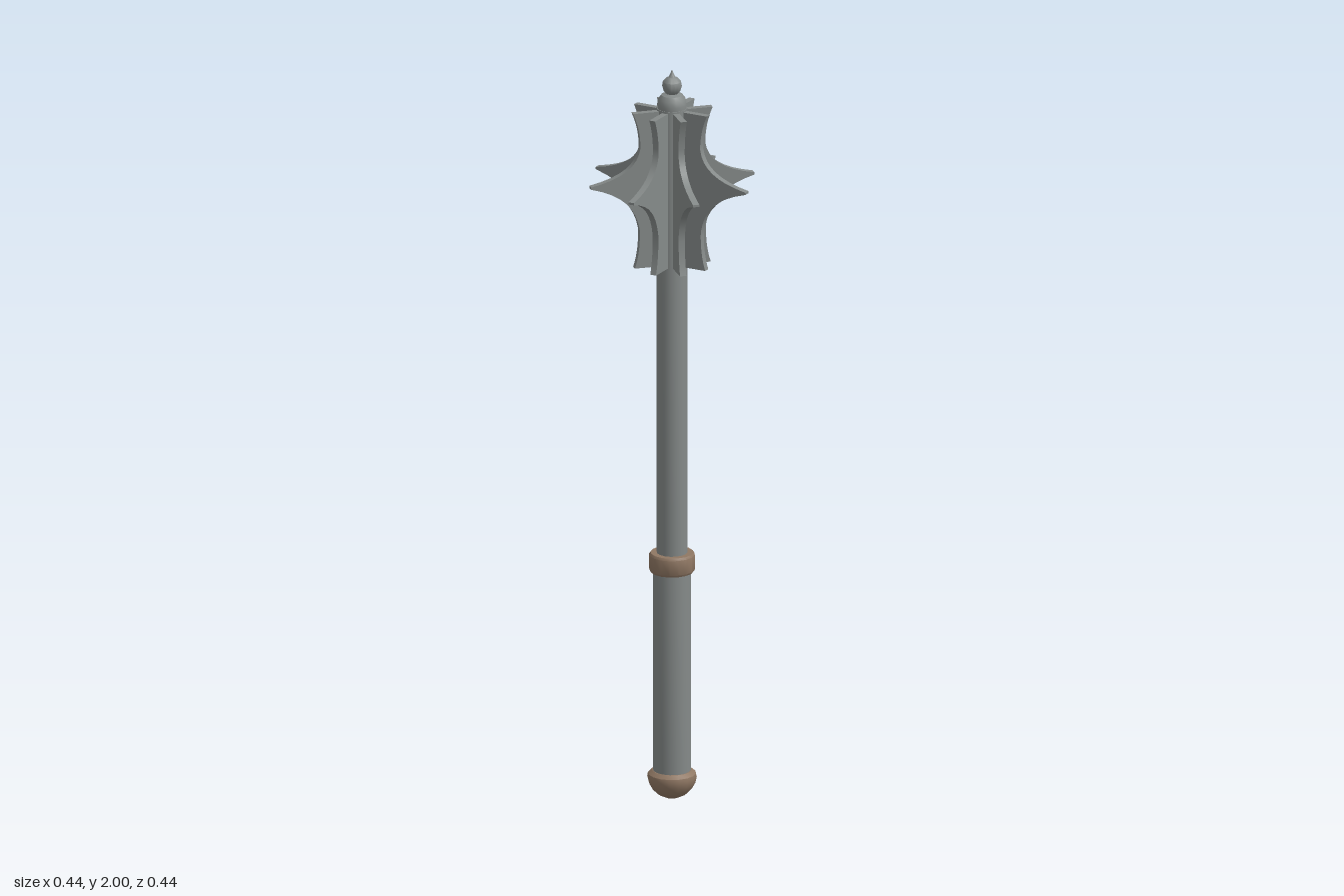
import * as THREE from 'three';
import { toCreasedNormals } from 'three/addons/utils/BufferGeometryUtils.js';

const steel = new THREE.MeshStandardMaterial({ color: 0x858a89 });
steel.name = 'steel';
const bronze = new THREE.MeshStandardMaterial({ color: 0x8f7763 });
bronze.name = 'bronze';

const SIDES = 16;

// Turned part from [radius, height] pairs, listed bottom to top
function turned(name, points, material) {
  const profile = points.map(([r, y]) => new THREE.Vector2(r, y));
  const geometry = toCreasedNormals(new THREE.LatheGeometry(profile, SIDES), 0.6);
  const mesh = new THREE.Mesh(geometry, material);
  mesh.name = name;
  return mesh;
}

// Thin blade with concave edges meeting in a point
function flangeGeometry() {
  const thickness = 0.017;
  const shape = new THREE.Shape();
  shape.moveTo(0.02, 1.465);
  shape.lineTo(0.103, 1.465);
  shape.quadraticCurveTo(0.088, 1.51, 0.09, 1.57);
  shape.bezierCurveTo(0.1, 1.63, 0.135, 1.67, 0.222, 1.693);
  shape.lineTo(0.222, 1.699);
  shape.bezierCurveTo(0.135, 1.715, 0.095, 1.745, 0.088, 1.795);
  shape.quadraticCurveTo(0.088, 1.845, 0.108, 1.89);
  shape.lineTo(0.02, 1.89);
  shape.closePath();
  const geometry = new THREE.ExtrudeGeometry(shape, { depth: thickness, bevelEnabled: false, curveSegments: 8 });
  geometry.translate(0, 0, -thickness / 2);
  return toCreasedNormals(geometry, 0.6);
}

export function createModel() {
  const model = new THREE.Group();
  model.name = 'flangedMace';

  // Handle
  model.add(
    turned('pommel', [[0, 0], [0.02, 0.003], [0.038, 0.012], [0.052, 0.026], [0.061, 0.042],
      [0.065, 0.058], [0.063, 0.068], [0.052, 0.077], [0, 0.077]], bronze),
    turned('grip', [[0, 0.07], [0.05, 0.07], [0.05, 0.63], [0, 0.63]], steel),
    turned('collar', [[0.045, 0.622], [0.056, 0.622], [0.06, 0.628], [0.06, 0.668],
      [0.056, 0.674], [0.036, 0.674]], bronze),
    turned('shaft', [[0, 0.62], [0.04, 0.62], [0.04, 1.895], [0, 1.895]], steel),
  );

  // Finial: dome, ball and small spike
  model.add(turned('finial', [[0.038, 1.89], [0.039, 1.905], [0.036, 1.92], [0.028, 1.931],
    [0.016, 1.935], [0.022, 1.942], [0.026, 1.955], [0.024, 1.967], [0.016, 1.976],
    [0.009, 1.98], [0.005, 1.988], [0, 2]], steel));

  // Eight flanges around the head
  const head = new THREE.Group();
  head.name = 'head';
  const blade = flangeGeometry();
  for (let i = 0; i < 8; i++) {
    const flange = new THREE.Mesh(blade, steel);
    flange.name = 'flange' + (i + 1);
    flange.rotation.y = (i * Math.PI) / 4;
    head.add(flange);
  }
  model.add(head);
  return model;
}
